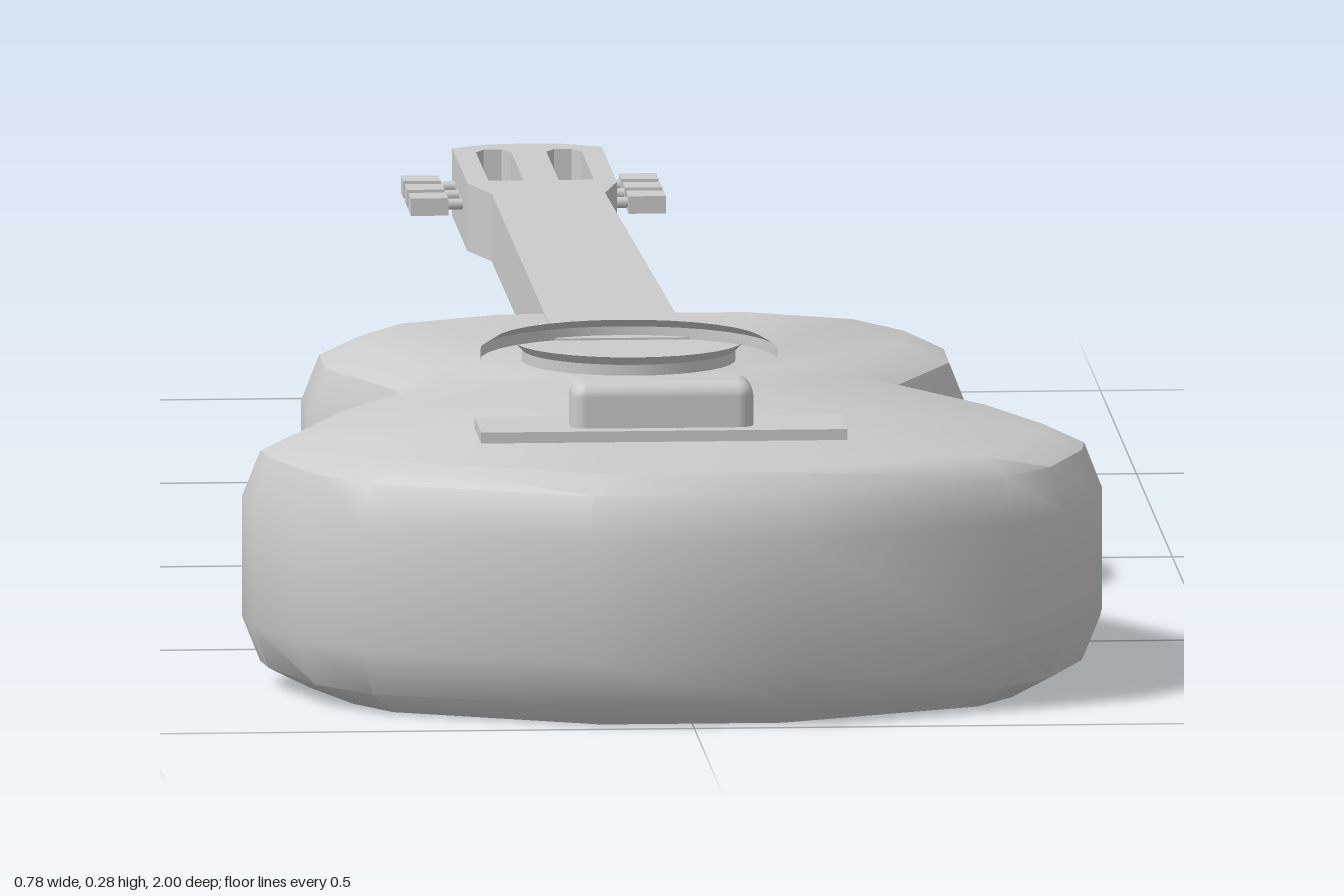
import * as THREE from 'three';
import { toCreasedNormals } from 'three/addons/utils/BufferGeometryUtils.js';
import { RoundedBoxGeometry } from 'three/addons/geometries/RoundedBoxGeometry.js';

const material = new THREE.MeshStandardMaterial({ color: 0xcccccc });

function add(group, name, geometry, x = 0, y = 0, z = 0) {
  const mesh = new THREE.Mesh(geometry, material);
  mesh.name = name;
  mesh.position.set(x, y, z);
  group.add(mesh);
  return mesh;
}

// Flat slab: outline in [x, z], extruded upward from y = 0
function slab(outline, height, holes = []) {
  const toPoints = (list) => list.map(([x, z]) => new THREE.Vector2(x, -z));
  const shape = new THREE.Shape(toPoints(outline));
  holes.forEach((h) => shape.holes.push(new THREE.Path(toPoints(h))));
  return new THREE.ExtrudeGeometry(shape, { depth: height, bevelEnabled: false }).rotateX(-Math.PI / 2);
}

// Body: waisted outline stacked in levels, inset towards top and bottom
function bodyGeometry() {
  const half = [
    [0.12, -0.02], [0.24, 0.035], [0.3, 0.12], [0.3, 0.21], [0.243, 0.345], [0.245, 0.395],
    [0.342, 0.565], [0.391, 0.69], [0.386, 0.74], [0.349, 0.845], [0.295, 0.91], [0.095, 1.0],
  ];
  const outline = [...half, ...half.map(([x, z]) => [-x, z]).reverse()];
  const n = outline.length;
  const normals = outline.map((_, i) => {
    const a = outline[(i + n - 1) % n], b = outline[(i + 1) % n];
    return new THREE.Vector2(b[1] - a[1], a[0] - b[0]).normalize();
  });
  // y, inset in x, inset in z
  const levels = [
    [0, 0.056, 0.03], [0.019, 0.017, 0.012], [0.06, 0, 0],
    [0.17, 0, 0], [0.212, 0.017, 0.012], [0.23, 0.056, 0.03],
  ];
  const positions = [], index = [];
  for (const [y, ix, iz] of levels)
    outline.forEach(([x, z], i) => positions.push(x - normals[i].x * ix, y, z - normals[i].y * iz));
  const bottom = positions.length / 3, top = bottom + 1, last = (levels.length - 1) * n;
  positions.push(0, 0, 0.45, 0, 0.23, 0.45);
  for (let i = 0; i < n; i++) {
    const j = (i + 1) % n;
    for (let k = 0; k < last; k += n)
      index.push(k + i, k + n + j, k + j, k + i, k + n + i, k + n + j);
    index.push(bottom, i, j, top, last + j, last + i);
  }
  const g = new THREE.BufferGeometry();
  g.setAttribute('position', new THREE.Float32BufferAttribute(positions, 3));
  g.setIndex(index);
  return toCreasedNormals(g, 0.7);
}

export function createModel() {
  const model = new THREE.Group();
  model.name = 'guitar';

  add(model, 'body', bodyGeometry());

  // Ring round the sound hole
  const ring = [[0.097, 0.228], [0.097, 0.24], [0.105, 0.248], [0.122, 0.248], [0.135, 0.24], [0.135, 0.228]];
  const ringGeometry = new THREE.LatheGeometry(ring.map(([r, y]) => new THREE.Vector2(r, y)), 32);
  add(model, 'soundHoleRing', toCreasedNormals(ringGeometry, 0.5), -0.013, 0, 0.288);

  // Bridge
  add(model, 'bridgePlate', new THREE.BoxGeometry(0.333, 0.02, 0.09), -0.013, 0.23, 0.737);
  add(model, 'bridgeSaddle', new RoundedBoxGeometry(0.166, 0.06, 0.055, 2, 0.014), -0.013, 0.252, 0.737);

  // Neck, tapering towards the head
  add(model, 'neck', slab([[-0.072, 0.17], [0.05, 0.17], [0.03, -0.7], [-0.073, -0.7]], 0.062), 0, 0.17);

  // Head with two string slots
  const slot = (x) => {
    const w = 0.016;
    return [[x - w, -0.78], [x + w, -0.78], [x + w, -0.95], [x + w * 0.5, -0.965], [x - w * 0.5, -0.965], [x - w, -0.95]];
  };
  const cx = -0.023;
  const head = [
    [-0.073, -0.7], [0.03, -0.7], [0.045, -0.765], [0.045, -0.975], [0.012, -0.996], [cx, -1],
    [-0.058, -0.996], [-0.091, -0.975], [-0.091, -0.765],
  ];
  add(model, 'headstock', slab(head, 0.062, [slot(cx - 0.032), slot(cx + 0.032)]), 0, 0.17);

  // Tuning pegs, three on each side
  for (const side of [-1, 1])
    for (const z of [-0.935, -0.883, -0.831]) {
      const peg = new THREE.Group();
      peg.name = side > 0 ? 'leftTuningPeg' : 'rightTuningPeg';
      peg.position.set(cx, 0.203, z);
      add(peg, 'pegShaft', new THREE.CylinderGeometry(0.005, 0.005, 0.09, 8).rotateZ(Math.PI / 2), side * 0.045);
      add(peg, 'pegKnob', new THREE.BoxGeometry(0.034, 0.016, 0.034), side * 0.099);
      model.add(peg);
    }

  return model;
}
